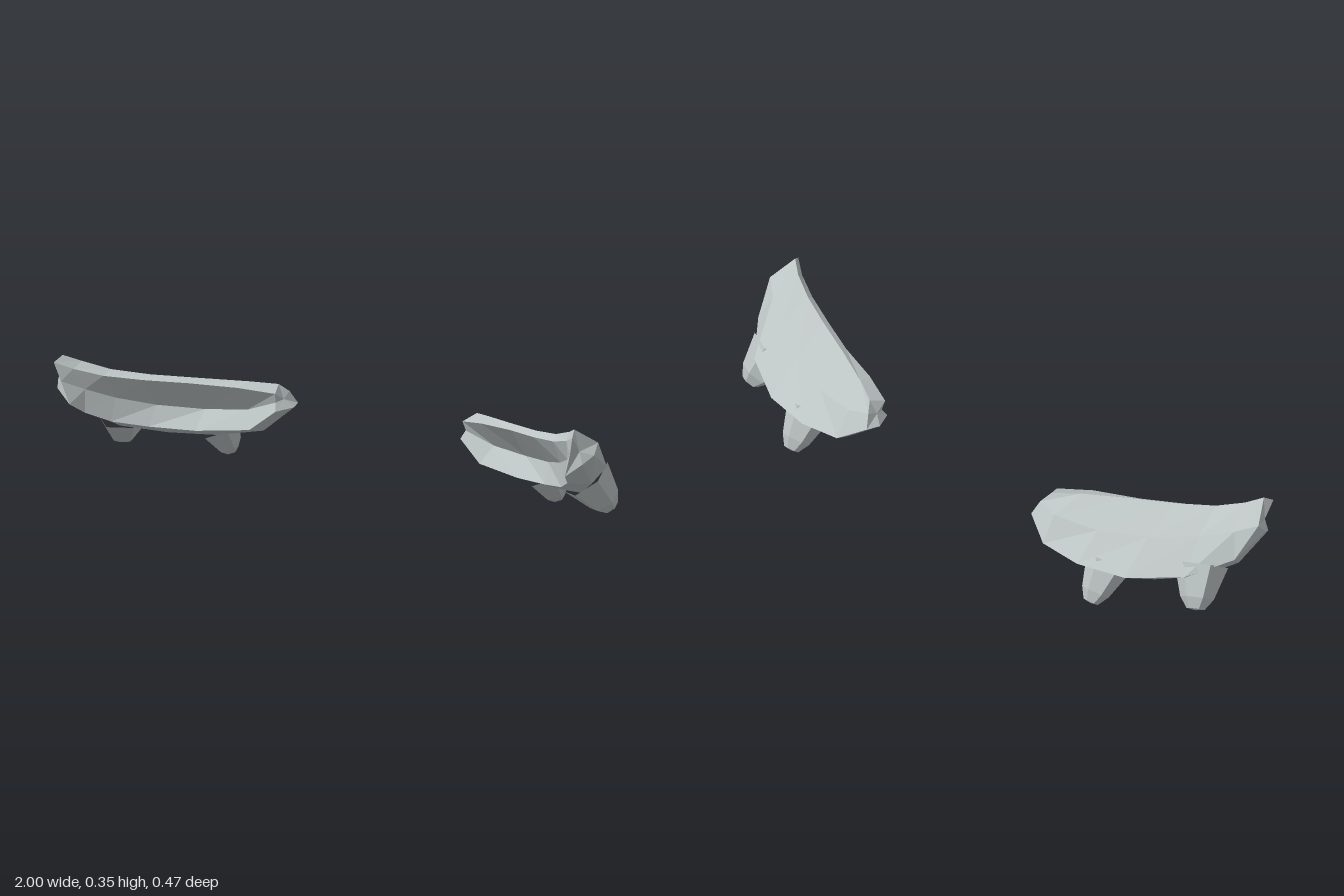
import * as THREE from 'three';

// Cross-sections from inner tip to outer tip, each a loop:
// top edge, front edge, hollow, lower lip, underside, back edge, upper face
const SECTIONS = [
  [.37, .27, -.12, .35, .25, -.07, .355, .22, -.08, .345, .195, -.065, .32, .2, -.13, .335, .205, -.175, .35, .245, -.15],
  [.45, .278, -.07, .455, .265, -.02, .46, .185, -.08, .43, .13, -.045, .44, .11, -.14, .42, .155, -.218, .42, .235, -.165],
  [.58, .285, 0, .6, .272, .035, .6, .175, -.05, .6, .115, 0, .6, .08, -.12, .56, .145, -.22, .565, .225, -.13],
  [.72, .292, .07, .73, .278, .1, .73, .185, .02, .74, .12, .05, .74, .082, -.06, .72, .145, -.18, .715, .235, -.065],
  [.83, .305, .125, .84, .288, .155, .83, .21, .1, .84, .135, .11, .86, .105, .03, .875, .165, -.08, .85, .255, .02],
  [.91, .33, .17, .92, .308, .2, .9, .24, .165, .9, .165, .165, .945, .155, .1, .97, .205, .05, .94, .28, .085],
  [.955, .35, .208, .968, .33, .238, .95, .27, .225, .925, .198, .215, .98, .24, .2, 1, .265, .165, .995, .3, .135],
].map((n) => Array.from({ length: 7 }, (_, i) => new THREE.Vector3(...n.slice(i * 3, i * 3 + 3))));

// Joins the sections into a closed faceted solid
function plateGeometry() {
  const pts = [];
  const last = SECTIONS.length - 1;
  const centre = (ring) => ring.reduce((s, p) => s.add(p), new THREE.Vector3()).divideScalar(ring.length);
  const start = centre(SECTIONS[0]);
  const end = centre(SECTIONS[last]);
  for (let j = 0; j < 7; j++) {
    const k = (j + 1) % 7;
    for (let i = 0; i < last; i++) {
      const a = SECTIONS[i][j], b = SECTIONS[i][k];
      const c = SECTIONS[i + 1][k], d = SECTIONS[i + 1][j];
      pts.push(a, b, c, a, c, d);
    }
    pts.push(start, SECTIONS[0][k], SECTIONS[0][j]);
    pts.push(end, SECTIONS[last][j], SECTIONS[last][k]);
  }
  return new THREE.BufferGeometry().setFromPoints(pts);
}

// Tapered six-sided stub with a blunt chamfered tip
function stubGeometry(root, tip, rootRadius, tipRadius) {
  const from = new THREE.Vector3(...root);
  const dir = new THREE.Vector3(...tip).sub(from);
  const profile = [[rootRadius, 0], [tipRadius * 1.4, 0.75], [tipRadius * 0.75, 1], [0, 1.03]]
    .map(([r, t]) => new THREE.Vector2(r, t * dir.length()));
  const geo = new THREE.LatheGeometry(profile, 6);
  const turn = new THREE.Quaternion().setFromUnitVectors(new THREE.Vector3(0, 1, 0), dir.normalize());
  return geo.applyQuaternion(turn).translate(...root).toNonIndexed();
}

// Mirrors in x and restores the corner order
function mirrored(geometry) {
  const geo = geometry.clone();
  const p = geo.attributes.position;
  const v = [0, 1, 2].map(() => new THREE.Vector3());
  for (let i = 0; i < p.count; i += 3) {
    v.forEach((w, k) => w.fromBufferAttribute(p, i + k));
    [v[0], v[2], v[1]].forEach((w, k) => p.setXYZ(i + k, -w.x, w.y, w.z));
  }
  return geo;
}

export function createModel() {
  const model = new THREE.Group();
  model.name = 'pairedCurvedPlates';
  const paleGrey = new THREE.MeshStandardMaterial({ color: 0xbcc3c3, flatShading: true });
  paleGrey.name = 'paleGrey';

  const parts = {
    curvedPlate: plateGeometry(),
    innerStub: stubGeometry([0.61, 0.125, -0.125], [0.61, 0.019, -0.213], 0.075, 0.032),
    outerStub: stubGeometry([0.865, 0.155, 0.015], [0.908, 0.05, -0.062], 0.085, 0.038),
  };
  for (const side of ['left', 'right']) {
    const half = new THREE.Group();
    half.name = side + 'Half';
    for (const [name, geometry] of Object.entries(parts)) {
      const geo = side === 'left' ? geometry : mirrored(geometry);
      geo.computeVertexNormals();
      const mesh = new THREE.Mesh(geo, paleGrey);
      mesh.name = name;
      half.add(mesh);
    }
    model.add(half);
  }
  return model;
}
